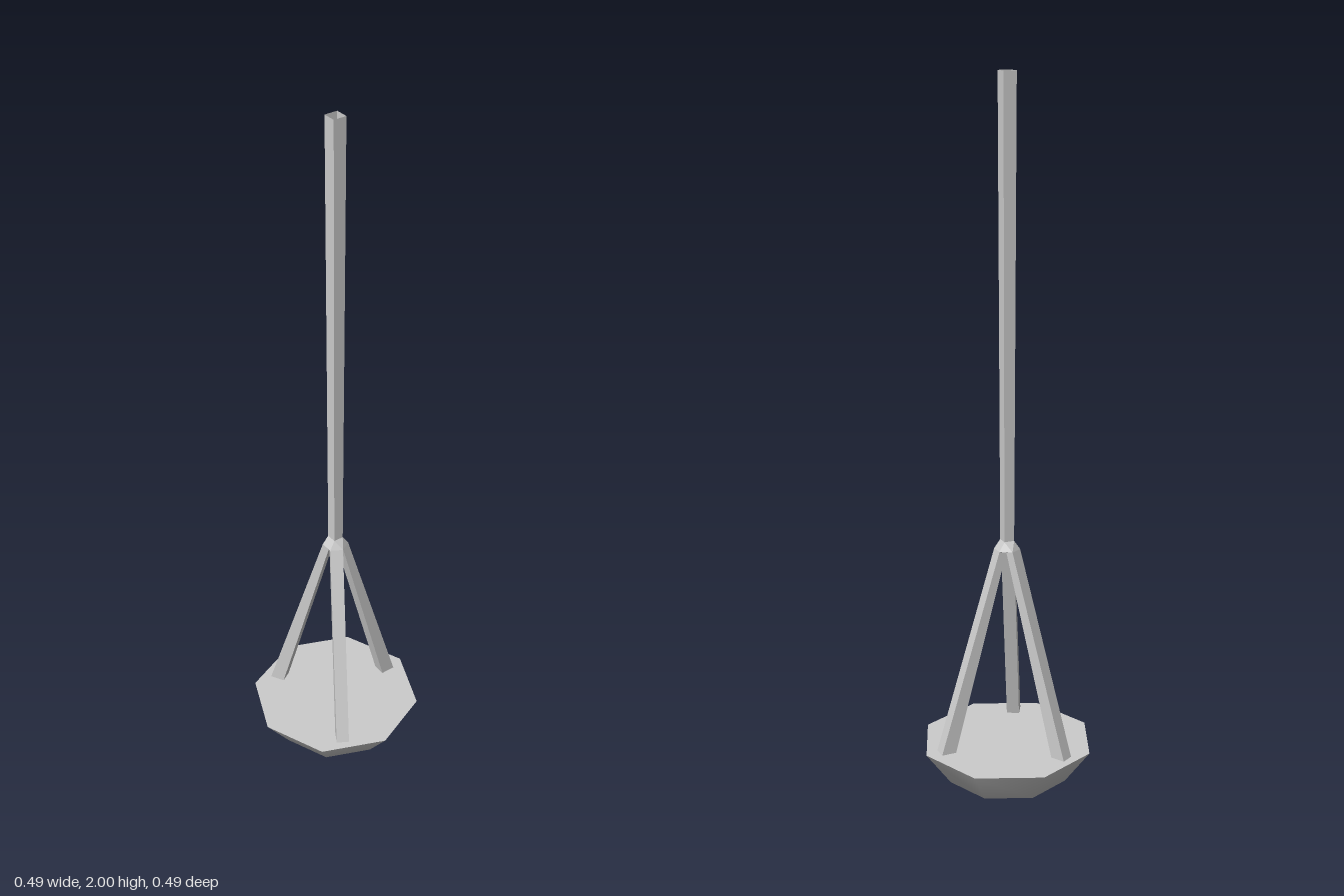
import * as THREE from 'three';
import { ConvexGeometry } from 'three/addons/geometries/ConvexGeometry.js';

const HALF = 0.018; // half width of a leg
const POLE_BASE = 0.0145; // half width of the pole where it meets the collar
const POLE_TOP = 0.0183;
const RIM = 0.14, JOINT = 0.72, COLLAR_TOP = 0.745;

const V = (x, y, z) => new THREE.Vector3(x, y, z);
const flat = new THREE.MeshStandardMaterial({ color: 0xcccccc, flatShading: true, side: THREE.DoubleSide });
const smooth = new THREE.MeshStandardMaterial({ color: 0xcccccc });

function add(parent, name, geometry, material) {
  const mesh = new THREE.Mesh(geometry, material);
  mesh.name = name;
  parent.add(mesh);
  return mesh;
}

// Flat faces, each a list of corners in counter-clockwise order
function facesGeometry(faces) {
  const points = [];
  for (const f of faces) {
    for (let i = 1; i < f.length - 1; i++) points.push(f[0], f[i], f[i + 1]);
  }
  const g = new THREE.BufferGeometry().setFromPoints(points);
  g.computeVertexNormals();
  return g;
}

// Collar blending the six outer leg corners into the square pole
function collarGeometry() {
  const y = JOINT, s = POLE_BASE, t = COLLAR_TOP;
  const faces = [
    [V(-HALF, y, 0.031), V(HALF, y, 0.031), V(s, t, s), V(-s, t, s)],
    [V(HALF, y, -0.031), V(-HALF, y, -0.031), V(-s, t, -s), V(s, t, -s)],
  ];
  const side = [
    [V(HALF, y, 0.031), V(0.036, y, 0), V(s, t, s)],
    [V(0.036, y, 0), V(s, t, -s), V(s, t, s)],
    [V(0.036, y, 0), V(HALF, y, -0.031), V(s, t, -s)],
  ];
  const mirror = side.map((f) => f.map((p) => V(-p.x, p.y, p.z)).reverse());
  faces.push(...side, ...mirror);
  // Undersides between neighbouring legs
  for (let i = 0; i < 3; i++) {
    const web = [V(0, JOINT - 0.005, 0.0208), V(HALF, y, 0.031), V(-HALF, y, 0.031)];
    faces.push(web.map((p) => p.applyAxisAngle(V(0, 1, 0), (i * Math.PI * 2) / 3)));
  }
  return facesGeometry(faces);
}

export function createModel() {
  const model = new THREE.Group();
  model.name = 'tripodPoleOnBowl';

  // Bowl: faceted, flattened half sphere with a flat lid
  const bowl = new THREE.Group();
  bowl.name = 'bowl';
  model.add(bowl);
  const profile = [[0, 0], [0.175, 0.041], [0.247, RIM]].map(([r, y]) => new THREE.Vector2(r, y));
  add(bowl, 'bowlShell', new THREE.LatheGeometry(profile, 8), smooth);
  const lid = add(bowl, 'bowlLid', new THREE.CircleGeometry(0.247, 8).rotateX(-Math.PI / 2), smooth);
  lid.position.y = RIM;

  // Three slanted legs, one pointing straight back
  const corners = [];
  for (const x of [-HALF, HALF]) {
    corners.push(V(x, RIM, 0.165), V(x, RIM, 0.207), V(x, JOINT - 0.005, 0.0104), V(x, JOINT, 0.031));
  }
  const legGeometry = new ConvexGeometry(corners);
  ['backLeg', 'leftLeg', 'rightLeg'].forEach((name, i) => {
    const leg = add(model, name, legGeometry, flat);
    leg.rotation.y = [Math.PI, Math.PI / 3, -Math.PI / 3][i];
  });

  add(model, 'collar', collarGeometry(), flat);

  // Square hollow pole, widening slightly upwards
  const height = 2 - COLLAR_TOP;
  const poleGeometry = new THREE.CylinderGeometry(
    POLE_TOP * Math.SQRT2, POLE_BASE * Math.SQRT2, height, 4, 1, true).rotateY(Math.PI / 4);
  const pole = add(model, 'pole', poleGeometry, flat);
  pole.position.y = COLLAR_TOP + height / 2;

  return model;
}
